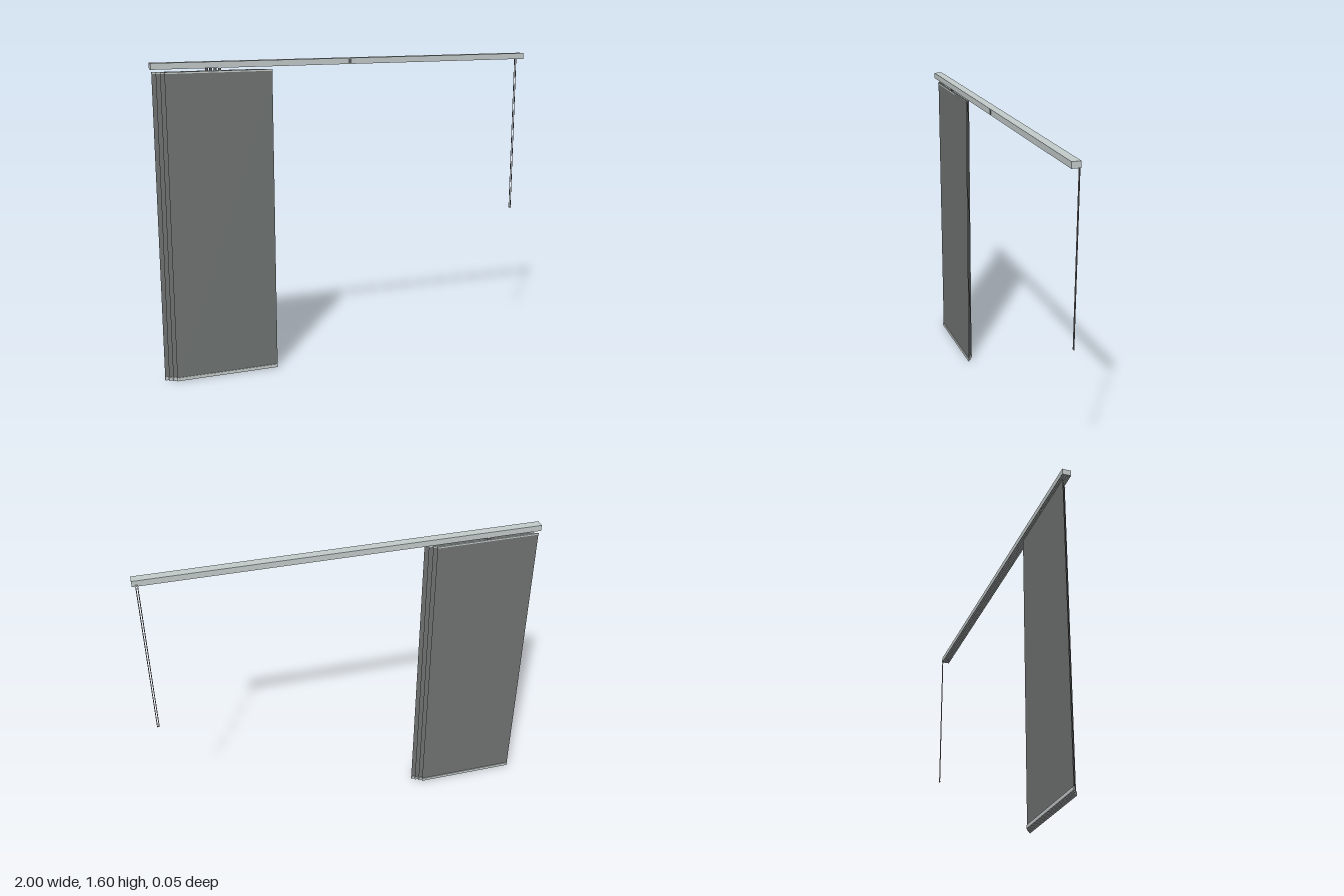
import * as THREE from 'three';

const mat = (name, color, side = THREE.FrontSide) => {
  const m = new THREE.MeshStandardMaterial({ color, side });
  m.name = name;
  return m;
};

export function createModel() {
  const aluminium = mat('aluminium', 0xc4cccb);
  const fabric = mat('grey fabric', 0x707472, THREE.DoubleSide);
  const dark = mat('dark plastic', 0x555857);
  const cordMat = mat('cord grey', 0x8c8686);

  const group = new THREE.Group();
  group.name = 'slidingPanelBlind';
  const add = (name, geo, material, x, y, z, parent = group) => {
    const m = new THREE.Mesh(geo, material);
    m.name = name;
    m.position.set(x, y, z);
    parent.add(m);
    return m;
  };
  const box = (name, w, h, d, material, x, y, z, parent) =>
    add(name, new THREE.BoxGeometry(w, h, d), material, x, y, z, parent);

  const laneZ = [0.0165, 0.0055, -0.0055, -0.0165];

  // Head rail: profile with one narrow slot underneath for each panel
  const profile = new THREE.Shape();
  profile.moveTo(-0.022, 1.565);
  [...laneZ].reverse().forEach((z) => {
    profile.lineTo(z - 0.002, 1.565);
    profile.lineTo(z - 0.002, 1.575);
    profile.lineTo(z + 0.002, 1.575);
    profile.lineTo(z + 0.002, 1.565);
  });
  profile.lineTo(0.022, 1.565);
  profile.lineTo(0.022, 1.595);
  profile.lineTo(-0.022, 1.595);
  const railGeo = new THREE.ExtrudeGeometry(profile, { depth: 1.99, bevelEnabled: false });
  railGeo.translate(0, 0, -0.995);
  railGeo.rotateY(-Math.PI / 2);
  railGeo.scale(1, 1, 1);
  // The profile's horizontal axis becomes z after the turn
  add('headRail', railGeo, aluminium, 0, 0, 0);
  for (const s of [-1, 1]) box('endCap', 0.005, 0.03, 0.044, aluminium, s * 0.9975, 1.58, 0);
  box('railBracket', 0.018, 0.02, 0.004, dark, -0.002, 1.58, 0.0215);

  // Stacked panels, each behind the last and shifted sideways
  const width = 0.528;
  laneZ.forEach((z, i) => {
    const panel = new THREE.Group();
    panel.name = 'panel' + (i + 1);
    panel.position.set(-0.671 - i * 0.0185, 0, z);
    group.add(panel);
    add('fabricSheet', new THREE.PlaneGeometry(width, 1.527), fabric, 0, 0.7805, 0, panel);
    box('bottomBar', width, 0.017, 0.007, aluminium, 0, 0.0085, 0, panel);
    box('topCarrier', width, 0.008, 0.005, aluminium, 0, 1.547, 0, panel);
    box('runner', 0.014, 0.02, 0.003, dark, 0, 1.56, 0, panel);
  });

  // Pull cords at the far end
  for (const x of [0.974, 0.983])
    add('pullCord', new THREE.CylinderGeometry(0.002, 0.002, 0.83, 8), cordMat, x, 1.15, -0.024);
  box('cordWeight', 0.013, 0.004, 0.004, cordMat, 0.9785, 0.737, -0.024);
  box('cordGuide', 0.014, 0.008, 0.008, aluminium, 0.9785, 1.569, -0.023);

  return group;
}
